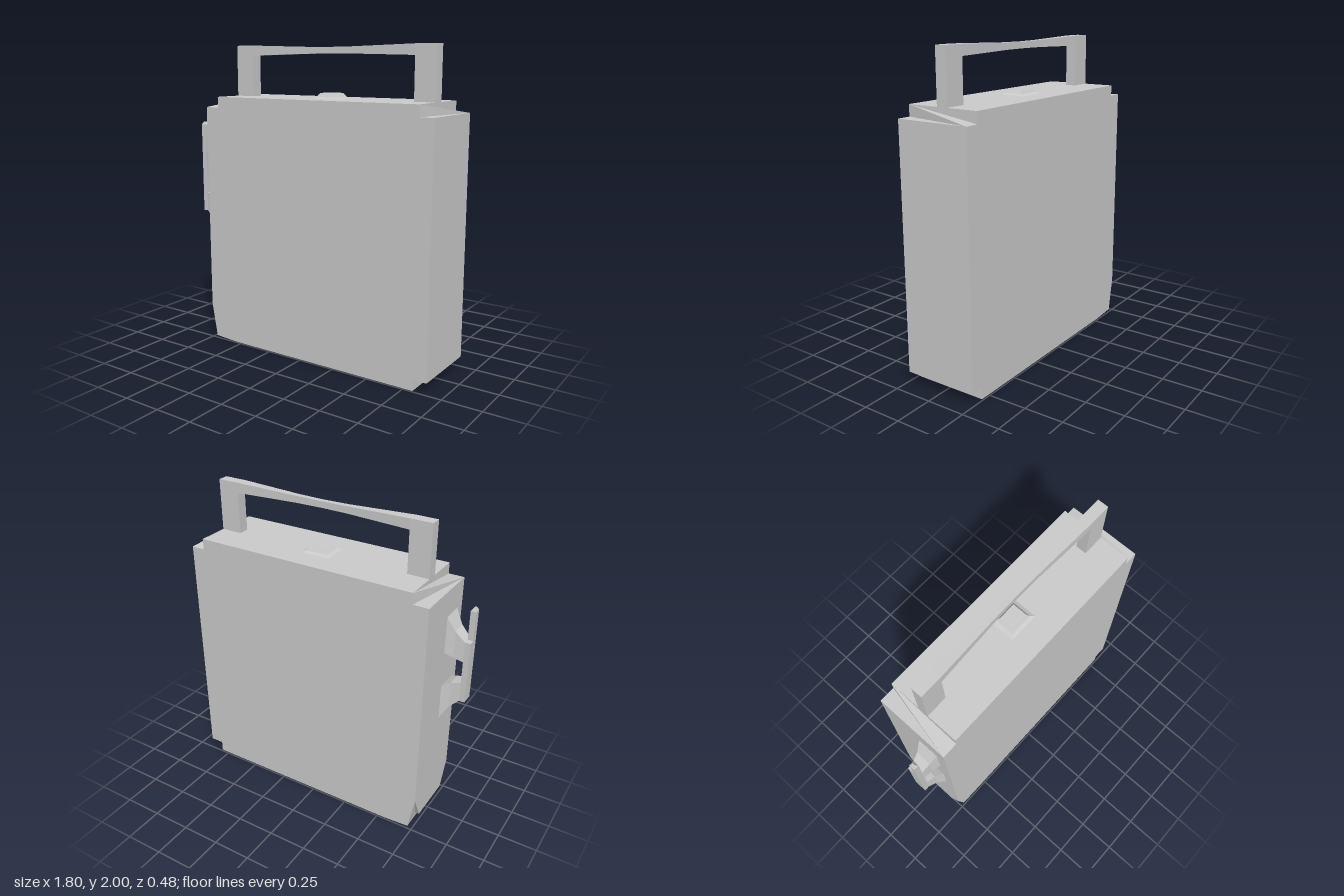
import * as THREE from 'three';

const material = new THREE.MeshStandardMaterial({ color: 0xcccccc, flatShading: true, side: THREE.DoubleSide });

function meshFrom(name, positions) {
  const g = new THREE.BufferGeometry();
  g.setAttribute('position', new THREE.Float32BufferAttribute(positions, 3));
  g.computeVertexNormals();
  const m = new THREE.Mesh(g, material);
  m.name = name;
  return m;
}

// Skin a row of four-cornered rings and cap both ends
function loft(name, rings) {
  const p = [];
  const quad = (a, b, c, d) => p.push(...a, ...b, ...c, ...a, ...c, ...d);
  for (let i = 0; i < rings.length - 1; i++) {
    const r = rings[i], s = rings[i + 1];
    for (let k = 0; k < 4; k++) {
      const n = (k + 1) % 4;
      quad(r[k], r[n], s[n], s[k]);
    }
  }
  const [a, b, c, d] = rings[0];
  quad(d, c, b, a);
  quad(...rings[rings.length - 1]);
  return meshFrom(name, p);
}

// Ring across x: section in the y-z plane, counter-clockwise seen from +x
const ringX = (x, y0, y1, z0, z1) => [[x, y0, z1], [x, y0, z0], [x, y1, z0], [x, y1, z1]];
// Ring across y: section in the x-z plane, counter-clockwise seen from above
const ringY = (y, x0, x1, z0, z1) => [[x0, y, z1], [x1, y, z1], [x1, y, z0], [x0, y, z0]];

function box(name, x0, x1, y0, y1, z0, z1) {
  return loft(name, [ringY(y0, x0, x1, z0, z1), ringY(y1, x0, x1, z0, z1)]);
}

function createBody() {
  const body = new THREE.Group();
  body.name = 'body';
  const D = 0.24;
  // Outline of the large panels, counter-clockwise, notched at the corners
  const outline = [
    [-0.55, 0], [0.81, 0], [0.81, 0.07], [0.9, 0.07], [0.9, 1.6], [0.81, 1.6], [0.81, 1.67],
    [-0.66, 1.67], [-0.66, 1.6], [-0.76, 1.6], [-0.76, 0.24], [-0.72, 0.01],
  ];
  const shape = new THREE.Shape(outline.map(([x, y]) => new THREE.Vector2(x, y)));
  for (const [name, z] of [['frontPanel', D], ['backPanel', -D]]) {
    const g = new THREE.ShapeGeometry(shape);
    if (z < 0) g.rotateY(Math.PI).scale(-1, 1, 1);
    const panel = new THREE.Mesh(g, material);
    panel.position.z = z;
    panel.name = name;
    body.add(panel);
  }
  // Walls between the panels, leaving the two top corners open
  const walls = [];
  const skipped = [4, 5, 7, 8];
  outline.forEach(([x, y], i) => {
    if (skipped.includes(i)) return;
    const [u, v] = outline[(i + 1) % outline.length];
    walls.push(x, y, D, x, y, -D, u, v, -D, x, y, D, u, v, -D, u, v, D);
  });
  body.add(meshFrom('sideWalls', walls));

  // Twisted facets that fill the top corners
  function corner(name, xi, xo, f) {
    const top = [xi, 1.67, f], topFar = [xi, 1.67, -f];
    const inner = [xi, 1.6, f], innerFar = [xi, 1.6, -f];
    const outer = [xo, 1.6, f], outerFar = [xo, 1.6, -f];
    const tris = [top, inner, outerFar, inner, outer, outerFar, top, outerFar, innerFar, top, innerFar, topFar];
    return meshFrom(name, tris.flat());
  }
  body.add(corner('leftTopCorner', 0.81, 0.9, D));
  body.add(corner('rightTopCorner', -0.66, -0.76, -D));

  // Wedge standing out of the crushed lower corner
  body.add(loft('lowerCornerWedge', [
    ringY(0.07, -0.76, -0.71, -0.16, 0.16),
    ringY(0.24, -0.76, -0.75, -0.24, 0.24),
  ]));
  return body;
}

function createCarryHandle() {
  const handle = new THREE.Group();
  handle.name = 'carryHandle';
  const z = 0.035;
  handle.add(box('rightPost', -0.66, -0.52, 1.67, 1.935, -z, z));
  handle.add(box('leftPost', 0.67, 0.81, 1.67, 1.935, -z, z));
  // Grip that narrows toward the middle
  handle.add(loft('grip', [
    ringX(-0.66, 1.935, 2, -z, z),
    ringX(-0.52, 1.935, 2, -z, z),
    ringX(-0.1, 1.945, 1.988, -0.02, 0.018),
    ringX(0.07, 1.946, 1.986, -0.018, 0.016),
    ringX(0.24, 1.945, 1.988, -0.02, 0.018),
    ringX(0.67, 1.935, 2, -z, z),
    ringX(0.81, 1.935, 2, -z, z),
  ]));
  return handle;
}

function createSideHandle() {
  const handle = new THREE.Group();
  handle.name = 'sideHandle';
  handle.add(box('sideGrip', -0.905, -0.87, 0.87, 1.28, 0.06, 0.14));
  // Thin upper finger with a pointed tip
  handle.add(loft('sideFinger', [
    ringY(1.28, -0.905, -0.87, 0.1, 0.14),
    ringY(1.47, -0.905, -0.87, 0.1, 0.14),
    ringY(1.49, -0.895, -0.885, 0.11, 0.13),
  ]));
  // Flared struts joining the grip to the body
  const strut = (name, a, b, c) => loft(name, [
    ringX(-0.87, ...a, 0.06, 0.14),
    ringX(-0.81, ...b, 0.05, 0.15),
    ringX(-0.76, ...c, 0.03, 0.17),
  ]);
  handle.add(strut('upperStrut', [1.145, 1.28], [1.165, 1.34], [1.19, 1.43]));
  handle.add(strut('lowerStrut', [0.87, 1.0], [0.81, 0.985], [0.72, 0.955]));
  return handle;
}

export function createModel() {
  const model = new THREE.Group();
  model.name = 'carryCase';
  model.add(createBody(), createCarryHandle(), createSideHandle());
  // Stepped button on the lid
  model.add(loft('topButton', [
    ringY(1.67, -0.025, 0.17, -0.09, 0.08),
    ringY(1.68, 0, 0.148, -0.065, 0.06),
    ringY(1.705, 0.02, 0.13, -0.05, 0.045),
  ]));
  return model;
}
